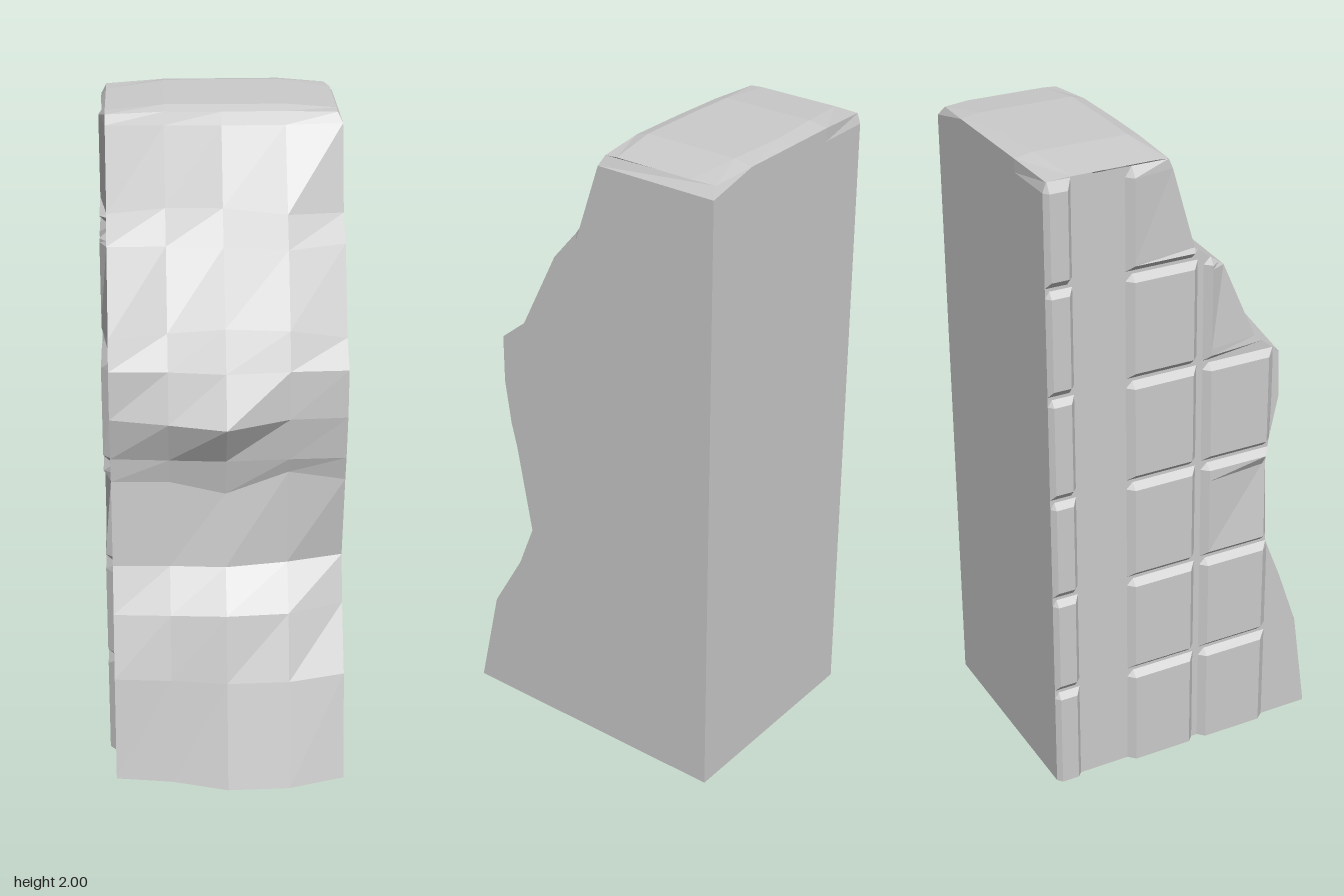
import * as THREE from 'three';

const material = new THREE.MeshStandardMaterial({ color: 0xcccccc, flatShading: true, side: THREE.DoubleSide });

// Faceted surface through rows of [x, y, z] points (columns run right, rows run up).
function gridMesh(name, rows) {
  const n = rows[0].length, index = [];
  for (let i = 0; i < rows.length - 1; i++) {
    for (let j = 0; j < n - 1; j++) {
      const a = i * n + j, d = a + n;
      index.push(a, a + 1, d + 1, a, d + 1, d);
    }
  }
  const indexed = new THREE.BufferGeometry();
  indexed.setAttribute('position', new THREE.Float32BufferAttribute(rows.flat(2), 3));
  indexed.setIndex(index);
  const geometry = indexed.toNonIndexed();
  geometry.computeVertexNormals();
  const mesh = new THREE.Mesh(geometry, material);
  mesh.name = name;
  return mesh;
}

const LEFT = -0.345, RIGHT = 0.362, BACK = -0.488;
const COLUMNS = [LEFT, -0.17, 0, 0.19, RIGHT];

// Rock face: height, then depth at each column.
const ROCK = [
  [0, 0.41, 0.435, 0.488, 0.483, 0.43],
  [0.33, 0.365, 0.38, 0.405, 0.40, 0.355],
  [0.52, 0.30, 0.33, 0.36, 0.33, 0.245],
  [0.66, 0.245, 0.25, 0.265, 0.235, 0.19],
  [0.94, 0.235, 0.24, 0.245, 0.245, 0.24],
  [1.02, 0.245, 0.26, 0.275, 0.265, 0.26],
  [1.16, 0.275, 0.32, 0.37, 0.29, 0.28],
  [1.31, 0.27, 0.275, 0.30, 0.285, 0.28],
  [1.38, 0.185, 0.22, 0.245, 0.24, 0.195],
  [1.63, 0.075, 0.08, 0.09, 0.13, 0.07],
  [1.70, -0.02, -0.01, 0.03, 0.07, -0.01],
  [1.95, -0.092, -0.088, -0.08, -0.08, -0.095],
  [1.98, -0.105, -0.10, -0.095, -0.095, -0.11],
];
// Small height shifts keep the inner ledges uneven.
const SHIFT = { 0.94: [0, -0.04, 0.03], 1.38: [0.03, 0.05, 0.04], 0.52: [0.01, 0.02, 0.01], 1.7: [0.02, 0.03, 0.02] };

// Depth of the rock edge at any height, for column c.
function edgeDepth(y, c) {
  let i = 1;
  while (i < ROCK.length - 1 && ROCK[i][0] < y) i++;
  const [a, b] = [ROCK[i - 1], ROCK[i]];
  return THREE.MathUtils.mapLinear(y, a[0], b[0], a[c + 1], b[c + 1]);
}

const rightX = (y) => (y > 1.96 ? 0.347 : RIGHT);

function rockFace() {
  return gridMesh('rockFace', ROCK.map(([y, ...depth]) => depth.map((z, c) => {
    const dy = c > 0 && c < 4 && SHIFT[y] ? SHIFT[y][c - 1] : 0;
    const top = y === 1.98 && c > 0 && c < 4 ? 0.008 : 0;
    return [c === 4 ? rightX(y) : COLUMNS[c], y + dy + top, z];
  })));
}

function plainSide() {
  return gridMesh('plainSide', ROCK.map(([y, ...depth]) => [
    [rightX(y), y, depth[4]],
    [y > 1.96 ? 0.335 : RIGHT, y, y > 1.96 ? -0.475 : BACK],
  ]));
}

function backWall() {
  return gridMesh('backWall', [0, 1.95, 1.98].map((y) => {
    const top = y > 1.96;
    return [
      [top ? 0.335 : RIGHT, y, top ? -0.475 : BACK],
      [0.19, top ? 1.99 : y, BACK],
      [-0.17, top ? 1.99 : y, BACK],
      [LEFT, y, top ? -0.478 : BACK],
    ];
  }));
}

function topCap() {
  const front = ROCK[ROCK.length - 1].slice(1);
  const row = (depths, mid, edge) => COLUMNS.map((x, c) => [
    c === 4 ? (edge === 1.98 && depths[0] < -0.4 ? 0.335 : 0.347) : x,
    c > 0 && c < 4 ? mid : edge,
    depths[c],
  ]);
  return gridMesh('topCap', [
    row(front, 1.988, 1.98),
    row(front.map((z) => z - 0.04), 2, 1.983),
    row([-0.4, -0.43, -0.44, -0.43, -0.4], 2, 1.983),
    row([-0.478, BACK, BACK, BACK, -0.475], 1.99, 1.98),
  ]);
}

// Side clad in three columns of raised blocks parted by grooves.
function blockSide() {
  const bands = [[-0.475, -0.42], [-0.22, -0.03], [0.03, 0.225]];
  const zStops = [BACK, -0.475, -0.42, -0.405, -0.24, -0.22, -0.03, -0.01, 0.01, 0.03, 0.225, 0.25, 1];
  const grooves = [1, 2, 3, 4, 5].map((k) => k / 3);
  const heights = new Set(ROCK.map((r) => r[0]).filter((y) => !grooves.some((g) => Math.abs(g - y) < 0.025)));
  grooves.forEach((g) => [-0.025, -0.005, 0.005, 0.025].forEach((d) => heights.add(g + d)));
  const raisedRow = (y) => y < 1.96 && !grooves.some((g) => Math.abs(g - y) < 0.015);
  const ys = [...heights].sort((a, b) => a - b);
  return gridMesh('blockSide', ys.map((y) => {
    const edge = edgeDepth(y, 0);
    return zStops.map((stop) => {
      const z = Math.min(Math.max(stop, y > 1.96 ? -0.478 : BACK), edge);
      const band = bands.findIndex(([a, b]) => z >= a - 0.001 && z <= b + 0.001);
      const raised = band >= 0 && raisedRow(y) && z < edge - 0.012;
      return [raised ? (band ? -0.366 : -0.361) : LEFT, y, z];
    });
  }));
}

export function createModel() {
  const model = new THREE.Group();
  model.name = 'rockBlock';
  model.add(rockFace(), plainSide(), backWall(), topCap(), blockSide());
  return model;
}
